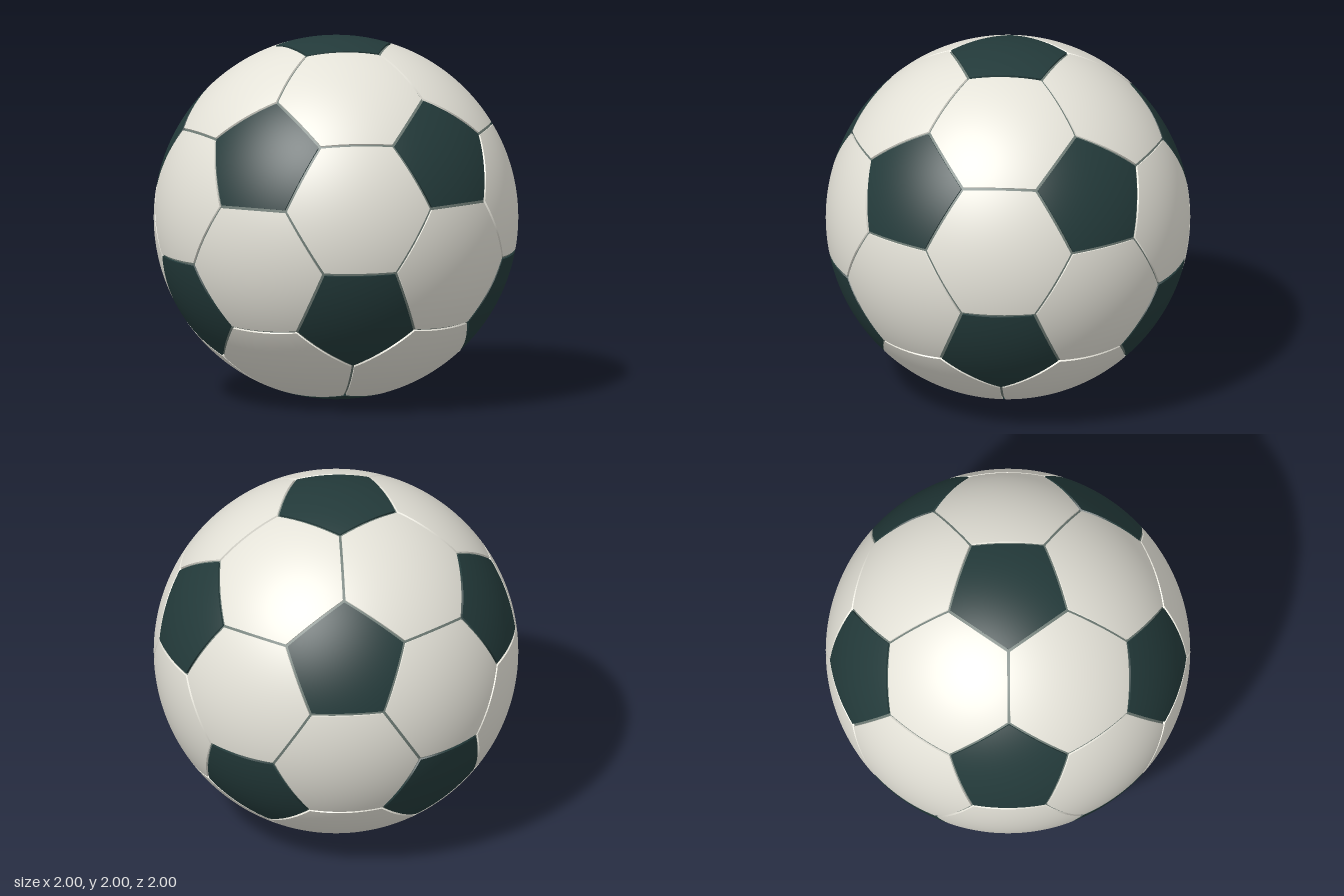
import * as THREE from 'three';

const GAP = 0.008;   // half the width of a seam
const DEPTH = 0.012; // how far the seams lie below the panels
const STEPS = 12;    // subdivisions from a panel's centre to its rim and along each side

const white = new THREE.MeshStandardMaterial({ color: 0xe4e2d8 });
white.name = 'warm white';
const dark = new THREE.MeshStandardMaterial({ color: 0x233a3a });
dark.name = 'dark green';
const grey = new THREE.MeshStandardMaterial({ color: 0x6e7b75 });
grey.name = 'seam grey';

// Twelve icosahedron directions: two poles and two staggered rings of five
function icosahedronPoints() {
  const points = [new THREE.Vector3(0, 1, 0), new THREE.Vector3(0, -1, 0)];
  const y = 1 / Math.sqrt(5), r = 2 * y;
  for (let i = 0; i < 10; i++) {
    const a = i * Math.PI / 5;
    points.push(new THREE.Vector3(r * Math.cos(a), i % 2 ? -y : y, r * Math.sin(a)));
  }
  return points;
}

// The n corners nearest to a direction, sorted counter-clockwise seen from outside
function cornersAround(dir, corners, n) {
  const near = [...corners].sort((a, b) => b.dot(dir) - a.dot(dir)).slice(0, n);
  const u = near[0].clone().addScaledVector(dir, -near[0].dot(dir)).normalize();
  const v = dir.clone().cross(u);
  const angle = (p) => Math.atan2(p.dot(v), p.dot(u));
  return near.sort((a, b) => angle(a) - angle(b));
}

// Curved panel: concentric rings projected onto the ball, plus a wall down into the seam
function panelGeometry(dir, corners) {
  const n = corners.length, count = n * STEPS;
  const centre = dir.clone().multiplyScalar(corners[0].dot(dir));
  const apothem = corners[0].clone().add(corners[1]).multiplyScalar(0.5).distanceTo(centre);
  const inset = 1 - GAP / apothem;
  const positions = [], normals = [], index = [];

  const addRing = (t, radius, wall) => {
    for (let i = 0; i < count; i++) {
      const s = Math.floor(i / STEPS);
      const rim = corners[s].clone().lerp(corners[(s + 1) % n], (i % STEPS) / STEPS);
      const p = centre.clone().lerp(rim, t * inset).normalize();
      const normal = wall ? p.clone().addScaledVector(dir, -p.dot(dir)).normalize() : p;
      normals.push(normal.x, normal.y, normal.z);
      positions.push(p.x * radius, p.y * radius, p.z * radius);
    }
  };
  const joinRings = (inner, outer) => {
    for (let i = 0; i < count; i++) {
      const j = (i + 1) % count;
      const a = inner * count + i, b = inner * count + j;
      const c = outer * count + i, d = outer * count + j;
      if (inner > 0) index.push(a, d, b);
      index.push(a, c, d);
    }
  };

  for (let k = 0; k <= STEPS; k++) addRing(k / STEPS, 1, false);
  for (let k = 0; k < STEPS; k++) joinRings(k, k + 1);
  addRing(1, 1, true);
  addRing(1, 1 - DEPTH * 1.5, true);
  joinRings(STEPS + 1, STEPS + 2);

  const geometry = new THREE.BufferGeometry();
  geometry.setAttribute('position', new THREE.Float32BufferAttribute(positions, 3));
  geometry.setAttribute('normal', new THREE.Float32BufferAttribute(normals, 3));
  geometry.setIndex(index);
  return geometry;
}

export function createModel() {
  const ball = new THREE.Group();
  ball.name = 'ball';
  const points = icosahedronPoints();
  const adjacent = (a, b) => a !== b && a.dot(b) > 0.4;

  // Panel corners lie a third of the way along each icosahedron edge
  const corners = [];
  for (const a of points) {
    for (const b of points) {
      if (adjacent(a, b)) corners.push(a.clone().lerp(b, 1 / 3).normalize());
    }
  }

  const addPanel = (name, dir, sides, material) => {
    const mesh = new THREE.Mesh(panelGeometry(dir, cornersAround(dir, corners, sides)), material);
    mesh.name = name;
    ball.add(mesh);
  };

  // Dark pentagons on the points
  points.forEach((p) => addPanel('pentagonPanel', p, 5, dark));

  // White hexagons on the faces
  points.forEach((a, i) => points.forEach((b, j) => points.forEach((c, k) => {
    if (i < j && j < k && adjacent(a, b) && adjacent(b, c) && adjacent(a, c)) {
      addPanel('hexagonPanel', a.clone().add(b).add(c).normalize(), 6, white);
    }
  })));

  // Inner ball that shows through as the seams
  const seams = new THREE.Mesh(new THREE.SphereGeometry(1 - DEPTH, 96, 64), grey);
  seams.name = 'seams';
  ball.add(seams);

  ball.position.y = 1;
  const model = new THREE.Group();
  model.name = 'football';
  model.add(ball);
  return model;
}
